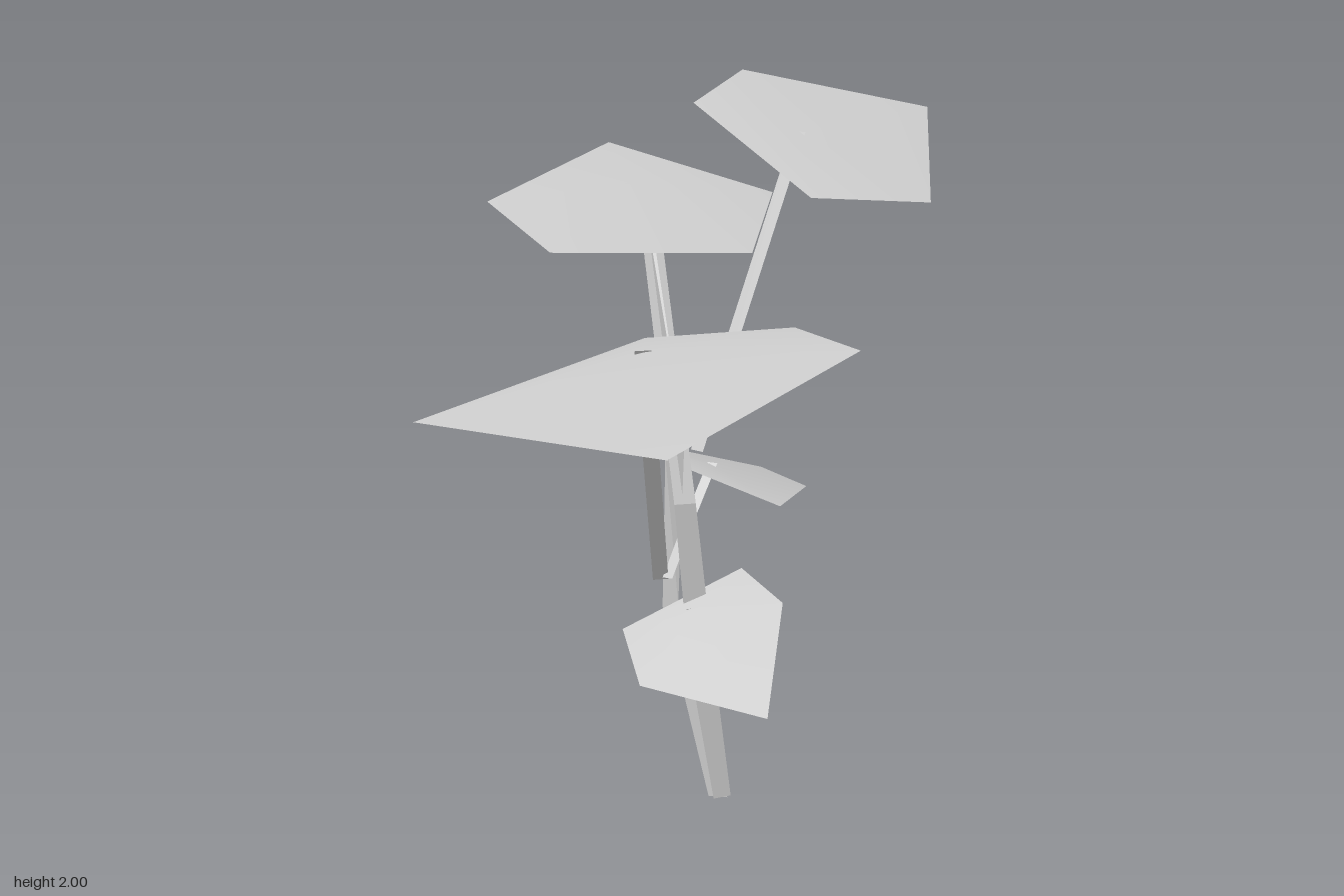
import * as THREE from 'three';

const material = new THREE.MeshStandardMaterial({ color: 0xcccccc, side: THREE.DoubleSide });
const flatMaterial = new THREE.MeshStandardMaterial({ color: 0xcccccc, side: THREE.DoubleSide, flatShading: true });

function makeMesh(name, points, index, mat) {
  const geometry = new THREE.BufferGeometry();
  geometry.setAttribute('position', new THREE.Float32BufferAttribute(points.flat(), 3));
  geometry.setIndex(index);
  geometry.computeVertexNormals();
  const mesh = new THREE.Mesh(geometry, mat);
  mesh.name = name;
  return mesh;
}

// Five-cornered leaf: a shallow fan around the point where its stalk meets it
function leaf(name, center, rim) {
  const index = rim.flatMap((_, i) => [0, 1 + (i + 1) % rim.length, 1 + i]);
  return makeMesh(name, [center, ...rim], index, material);
}

// Flat strip through pairs of edge points
function strip(name, pairs) {
  const index = [];
  for (let i = 0; i < pairs.length - 1; i++) {
    const a = 2 * i;
    index.push(a, a + 1, a + 2, a + 1, a + 3, a + 2);
  }
  return makeMesh(name, pairs.flat(), index, flatMaterial);
}

// Leaf stalk: a ribbon along a path, with a fixed half-width direction
function stalk(name, path, [wx, wy, wz]) {
  return strip(name, path.map(([x, y, z]) => [
    [x - wx, y - wy, z - wz], [x + wx, y + wy, z + wz],
  ]));
}

export function createModel() {
  const plant = new THREE.Group();
  plant.name = 'plant';

  // Main stem: a ribbon facing forward and a second one that twists sideways
  plant.add(strip('frontStem', [
    [[0.075, 0, -0.165], [0.125, 0.005, -0.165]],
    [[0, 0.44, -0.155], [0.07, 0.44, -0.155]],
    [[-0.04, 0.9, -0.15], [0.02, 0.9, -0.15]],
    [[-0.07, 1.6, -0.44], [-0.015, 1.6, -0.44]],
  ]));
  plant.add(strip('twistedStem', [
    [[0.06, 0.01, -0.165], [0.115, 0, -0.165]],
    [[-0.05, 0.56, -0.27], [-0.005, 0.56, -0.27]],
    [[-0.025, 0.98, -0.345], [-0.02, 1.09, -0.11]],
    [[-0.05, 1.61, -0.44], [-0.04, 1.61, -0.435]],
  ]));

  // Leaves
  plant.add(leaf('topLeaf', [0.335, 1.885, -0.29], [
    [0.08, 1.945, -0.455], [0.265, 2, -0.66], [0.775, 1.895, -0.55],
    [0.62, 1.735, -0.01], [0.29, 1.765, 0.01],
  ]));
  plant.add(leaf('backLeaf', [-0.07, 1.71, -0.565], [
    [-0.48, 1.68, -0.54], [-0.07, 1.76, -0.935], [0.34, 1.66, -0.6],
    [0.205, 1.56, -0.28], [-0.35, 1.59, -0.27],
  ]));
  plant.add(leaf('frontLeaf', [-0.195, 1.435, 0.22], [
    [-0.78, 1.31, 0.285], [-0.14, 1.405, -0.035], [0.2, 1.475, 0.205],
    [0.275, 1.5, 0.55], [-0.28, 1.38, 0.935],
  ]));
  plant.add(leaf('lowLeaf', [0, 0.6, -0.1], [
    [-0.185, 0.545, -0.16], [0.16, 0.685, -0.195], [0.235, 0.64, -0.02],
    [0.12, 0.435, 0.28], [-0.175, 0.455, 0.035],
  ]));
  plant.add(leaf('middleLeaf', [0.1, 0.96, -0.3], [
    [-0.1, 1, -0.36], [-0.1, 0.975, -0.54], [0.335, 0.815, -0.69],
    [0.385, 0.86, -0.35], [0.25, 0.885, -0.12],
  ]));

  // Stalks carrying the leaves
  plant.add(stalk('topLeafStalk', [[0.01, 1.07, -0.09], [0.335, 1.885, -0.29]], [0.013, 0, 0.015]));
  plant.add(stalk('frontLeafStalk', [[-0.065, 0.66, -0.22], [-0.195, 1.44, 0.22]], [0.022, 0, 0]));
  plant.add(stalk('lowLeafStalk', [[0.03, 0.35, -0.37], [0, 0.605, -0.12]], [0.013, 0, 0]));
  plant.add(stalk('middleLeafStalk', [
    [-0.05, 0.67, -0.2], [0.02, 0.82, -0.24], [0.1, 0.965, -0.3],
  ], [0.012, 0, 0.008]));
  plant.add(stalk('backLeafStalk', [[-0.042, 1.58, -0.43], [-0.07, 1.71, -0.565]], [0.02, 0, 0]));

  return plant;
}
